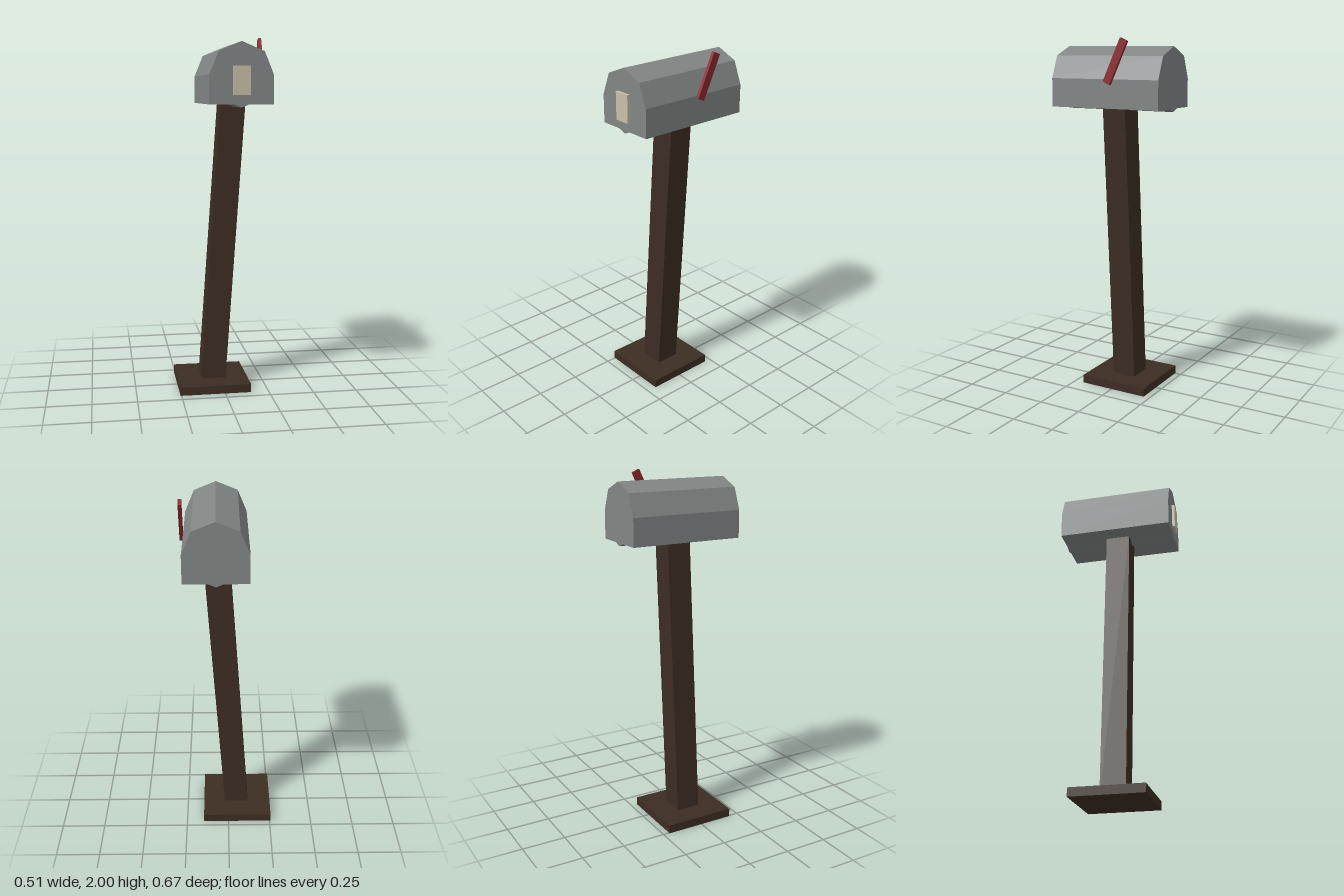
import * as THREE from 'three';

const material = (name, color) => {
  const m = new THREE.MeshStandardMaterial({ color });
  m.name = name;
  return m;
};

export function createModel() {
  const wood = material('dark wood', 0x3d2d23);
  const metal = material('grey metal', 0x818685);
  const red = material('flag red', 0x8e2b2e);
  const cream = material('cream', 0xc9bfa8);

  const group = new THREE.Group();
  group.name = 'mailbox';

  const add = (name, geometry, mat, x, y, z) => {
    const mesh = new THREE.Mesh(geometry, mat);
    mesh.name = name;
    mesh.position.set(x, y, z);
    group.add(mesh);
    return mesh;
  };
  const box = (name, mat, size, pos) => add(name, new THREE.BoxGeometry(...size), mat, ...pos);

  // Ground plate and leaning post
  box('basePlate', wood, [0.404, 0.048, 0.406], [-0.054, 0.024, -0.01]);
  const post = box('post', wood, [0.14, 1.64, 0.14], [0.0048, 0.828, -0.01]);
  post.rotation.z = -THREE.MathUtils.degToRad(4);

  // Box body: half-octagon roof over a square lower half, with a shallow keel below
  const r = 0.172, d = r * Math.SQRT1_2, floor = -0.155, keel = 0.041;
  const outline = new THREE.Shape([
    [0, r], [-d, d], [-r, 0], [-r, floor], [-keel, floor],
    [0, -r], [keel, floor], [r, floor], [r, 0], [d, d],
  ].map(([x, y]) => new THREE.Vector2(x, y)));
  const length = 0.658;
  const body = new THREE.ExtrudeGeometry(outline, { depth: length, bevelEnabled: false });
  add('boxBody', body, metal, 0.0645, 1.785, -0.338);

  // Front plate
  box('frontPlate', cream, [0.093, 0.15, 0.024], [0.0645, 1.755, 0.324]);

  // Signal flag on the left side, leaning backwards
  const flag = box('flag', red, [0.018, 0.25, 0.044], [0.245, 1.878, -0.088]);
  flag.rotation.x = -THREE.MathUtils.degToRad(25);

  return group;
}
